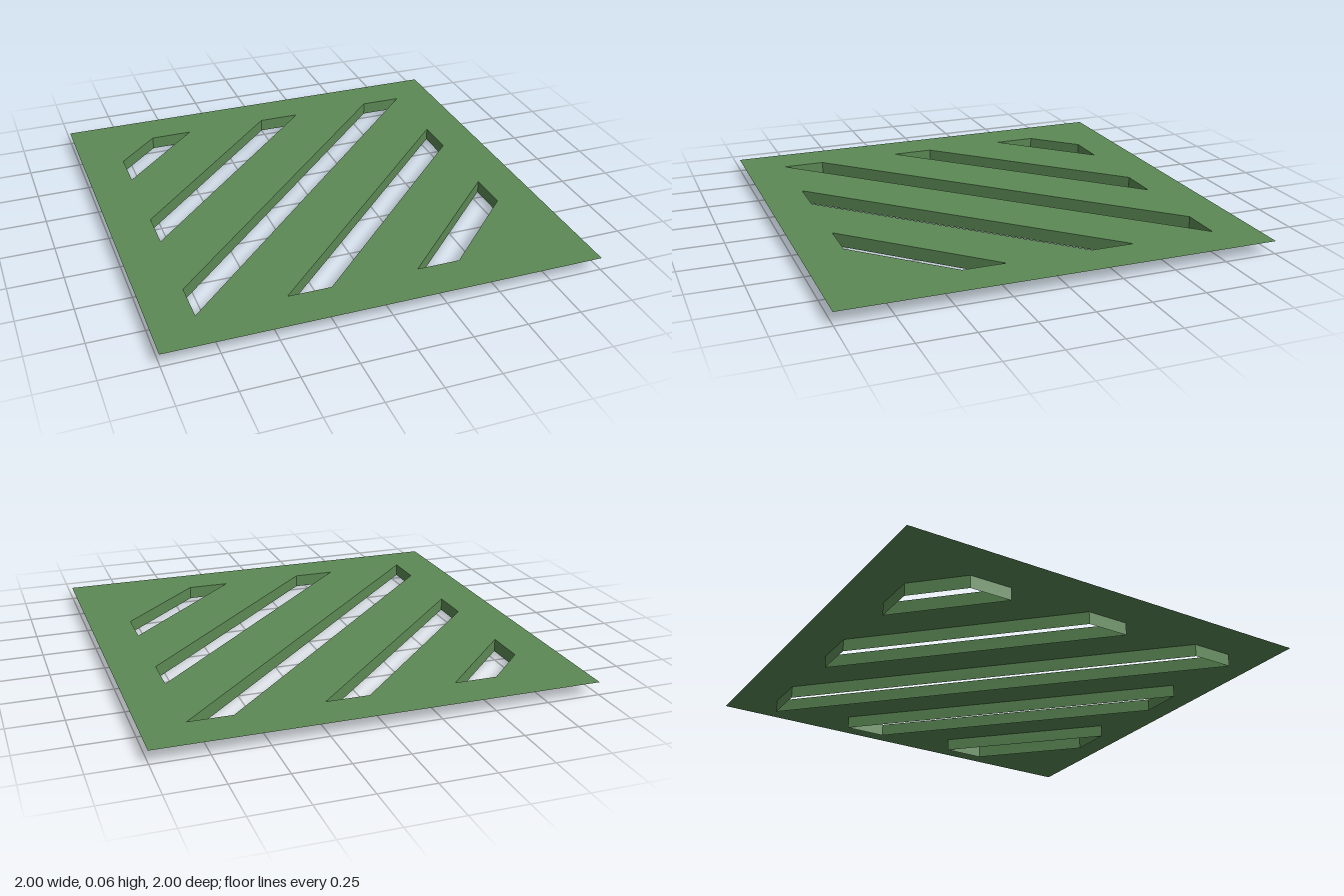
import * as THREE from 'three';

const HEIGHT = 0.06;
const INNER = 0.8; // half-width of the slotted area
const SLOT = 0.2; // slot width along an axis
const STARTS = [-1.4, -0.8, -0.2, 0.4, 1.0]; // x + z at each slot's first edge

// Ends of the diagonal x + z = s where it meets the slotted square, as [x, z]
function diagonal(s) {
  return s < 0.001
    ? [[s + INNER, -INNER], [-INNER, s + INNER]]
    : [[INNER, s - INNER], [s - INNER, INNER]];
}

function slotCorners(s) {
  const [a, d] = diagonal(s);
  const [b, c] = diagonal(s + SLOT);
  return [a, b, c, d];
}

// Square sheet with the slots cut out, facing up
function slottedSheet(slots) {
  const toShape = ([x, z]) => new THREE.Vector2(x, -z);
  const shape = new THREE.Shape([[-1, -1], [-1, 1], [1, 1], [1, -1]].map(toShape));
  for (const slot of slots) shape.holes.push(new THREE.Path(slot.map(toShape)));
  return new THREE.ShapeGeometry(shape).rotateX(-Math.PI / 2);
}

// Upright walls around one slot, facing into the opening
function slotWalls(corners) {
  const positions = [];
  corners.forEach(([x0, z0], i) => {
    const [x1, z1] = corners[(i + 1) % corners.length];
    positions.push(x0, 0, z0, x1, 0, z1, x1, HEIGHT, z1);
    positions.push(x0, 0, z0, x1, HEIGHT, z1, x0, HEIGHT, z0);
  });
  const geometry = new THREE.BufferGeometry();
  geometry.setAttribute('position', new THREE.Float32BufferAttribute(positions, 3));
  geometry.computeVertexNormals();
  return geometry;
}

export function createModel() {
  const green = new THREE.MeshStandardMaterial({ color: 0x5c8955, side: THREE.DoubleSide });
  green.name = 'leaf green';

  const group = new THREE.Group();
  group.name = 'slottedPanel';
  const add = (name, geometry) => {
    const mesh = new THREE.Mesh(geometry, green);
    mesh.name = name;
    group.add(mesh);
    return mesh;
  };

  const slots = STARTS.map(slotCorners);

  // Thin sheet resting on the slot walls
  add('topSheet', slottedSheet(slots)).position.y = HEIGHT;

  // Walls hanging below each diagonal slot
  slots.forEach((corners, i) => add(`slotWalls${i + 1}`, slotWalls(corners)));

  return group;
}
